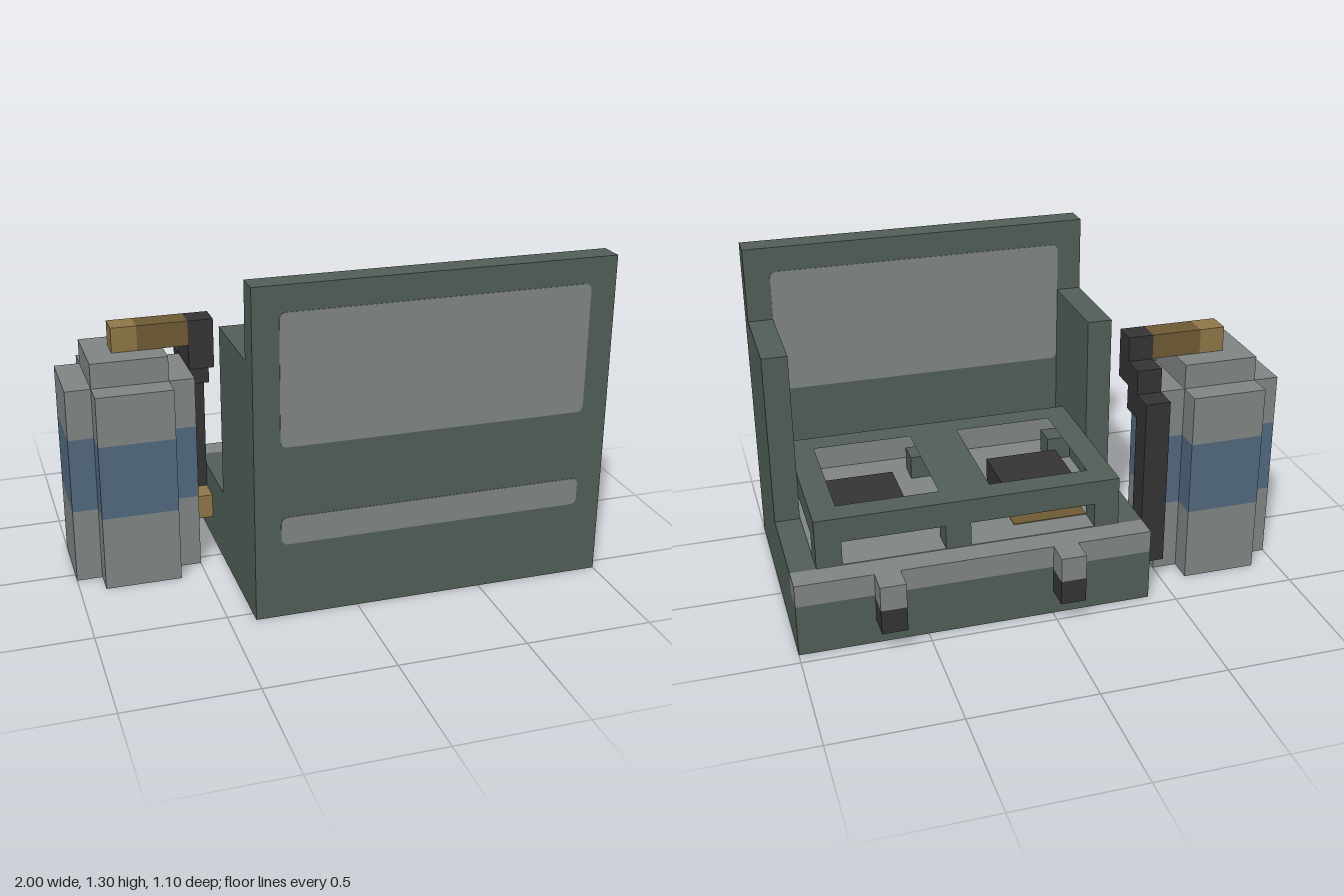
import * as THREE from 'three';

const flat = (name, color) => {
  const m = new THREE.MeshStandardMaterial({ color });
  m.name = name;
  return m;
};

export function createModel() {
  const green = flat('green enamel', 0x525f58);
  const grey = flat('grey metal', 0x828786);
  const blue = flat('blue band', 0x536a80);
  const dark = flat('dark rubber', 0x363435);
  const brass = flat('brass', 0x917847);
  const darkBrass = flat('dark brass', 0x6f5c35);
  const model = new THREE.Group();
  model.name = 'campStove';

  // Block spanning two corners
  const block = (name, mat, [x0, x1], [y0, y1], [z0, z1], parent = model) => {
    const mesh = new THREE.Mesh(new THREE.BoxGeometry(x1 - x0, y1 - y0, z1 - z0), mat);
    mesh.position.set((x0 + x1) / 2, (y0 + y1) / 2, (z0 + z1) / 2);
    mesh.name = name;
    parent.add(mesh);
    return mesh;
  };
  const part = (name) => {
    const g = new THREE.Group();
    g.name = name;
    model.add(g);
    return g;
  };

  // Base case with a grey rear rail
  const base = part('base');
  block('caseBody', green, [-0.4, 1], [0, 0.3], [-0.35, 0.45], base);
  block('rearSkirt', green, [-0.4, 1], [0, 0.21], [-0.45, -0.35], base);
  block('rearRail', grey, [-0.4, 1], [0.21, 0.3], [-0.45, -0.35], base);
  block('deckPlate', grey, [-0.3, 0.9], [0.3, 0.303], [-0.35, 0.45], base);
  block('fuelLine', darkBrass, [-0.2, 0.1], [0.303, 0.306], [-0.25, -0.15], base);

  // Lid standing upright, with side wind shields
  const lid = part('lid');
  block('lidPanel', green, [-0.4, 1], [0, 1.3], [0.45, 0.55], lid);
  for (const x of [-0.4, 0.9]) block('windShield', green, [x, x + 0.1], [0.3, 1], [0.05, 0.45], lid);

  // Rounded grey inlays on both faces of the lid
  const inlay = (name, y0, y1, z) => {
    const x0 = -0.3, x1 = 0.9, r = 0.025;
    const s = new THREE.Shape();
    s.absarc(x1 - r, y0 + r, r, -Math.PI / 2, 0);
    s.absarc(x1 - r, y1 - r, r, 0, Math.PI / 2);
    s.absarc(x0 + r, y1 - r, r, Math.PI / 2, Math.PI);
    s.absarc(x0 + r, y0 + r, r, Math.PI, Math.PI * 1.5);
    const geo = new THREE.ExtrudeGeometry(s, { depth: 0.003, bevelEnabled: false, curveSegments: 4 });
    const mesh = new THREE.Mesh(geo, grey);
    mesh.position.z = z;
    mesh.name = name;
    lid.add(mesh);
  };
  for (const z of [0.549, 0.448]) {
    inlay('lidInlay', 0.69, 1.2, z);
    inlay('lowerInlay', 0.3, 0.41, z);
  }

  // Cooking grate with two openings
  const grate = part('grate');
  const rect = (Path, x0, x1, z0, z1) => new Path([[x0, z0], [x1, z0], [x1, z1], [x0, z1]]
    .map(([x, z]) => new THREE.Vector2(x, -z)));
  const plate = rect(THREE.Shape, -0.3, 0.9, -0.35, 0.35);
  for (const x of [-0.2, 0.4]) plate.holes.push(rect(THREE.Path, x, x + 0.4, -0.25, 0.25));
  const top = new THREE.Mesh(
    new THREE.ExtrudeGeometry(plate, { depth: 0.1, bevelEnabled: false }), green);
  top.rotation.x = -Math.PI / 2;
  top.position.y = 0.4;
  top.name = 'grateFrame';
  grate.add(top);
  for (const x of [-0.3, 0.3, 0.8])
    for (const z of [-0.35, 0.25])
      block('gratePost', green, [x, x + 0.1], [0.3, 0.4], [z, z + 0.1], grate);

  // Burners
  for (const x of [-0.2, 0.5]) block('burner', dark, [x, x + 0.3], [0.3, 0.4], [-0.15, 0.15]);

  // Rear control knobs
  for (const x of [-0.1, 0.6]) {
    block('knobStem', grey, [x, x + 0.1], [0.2, 0.3], [-0.55, -0.45]);
    block('knobGrip', dark, [x, x + 0.1], [0.1, 0.2], [-0.55, -0.45]);
  }

  // Gas bottle: cross-shaped section in three bands
  const bottle = part('gasBottle');
  const cross = new THREE.Shape([
    [-1, -0.25], [-0.9, -0.25], [-0.9, -0.35], [-0.6, -0.35], [-0.6, -0.25], [-0.5, -0.25],
    [-0.5, 0.05], [-0.6, 0.05], [-0.6, 0.15], [-0.9, 0.15], [-0.9, 0.05], [-1, 0.05],
  ].map(([x, z]) => new THREE.Vector2(x, -z)));
  for (const [name, mat, y0, y1] of [
    ['bottleBottom', grey, 0, 0.3], ['bottleBand', blue, 0.3, 0.6], ['bottleTop', grey, 0.6, 0.8],
  ]) {
    const mesh = new THREE.Mesh(
      new THREE.ExtrudeGeometry(cross, { depth: y1 - y0, bevelEnabled: false }), mat);
    mesh.rotation.x = -Math.PI / 2;
    mesh.position.y = y0;
    mesh.name = name;
    bottle.add(mesh);
  }
  block('bottleShoulder', grey, [-0.9, -0.6], [0.8, 0.9], [-0.25, 0.05], bottle);
  block('valveTip', brass, [-0.8, -0.7], [0.9, 1], [-0.15, -0.05], bottle);
  block('valveBody', darkBrass, [-0.7, -0.5], [0.9, 1], [-0.15, -0.05], bottle);

  // Stepped hose from the valve down to the inlet
  const hose = part('hose');
  const hx = [-0.5, -0.4];
  block('hoseTop', dark, hx, [0.8, 1], [-0.15, -0.05], hose);
  block('hoseBend', dark, hx, [0.7, 0.9], [-0.25, -0.15], hose);
  block('hoseDrop', dark, hx, [0.1, 0.8], [-0.35, -0.25], hose);
  block('hoseInlet', brass, hx, [0.1, 0.2], [-0.25, -0.15], hose);

  return model;
}
